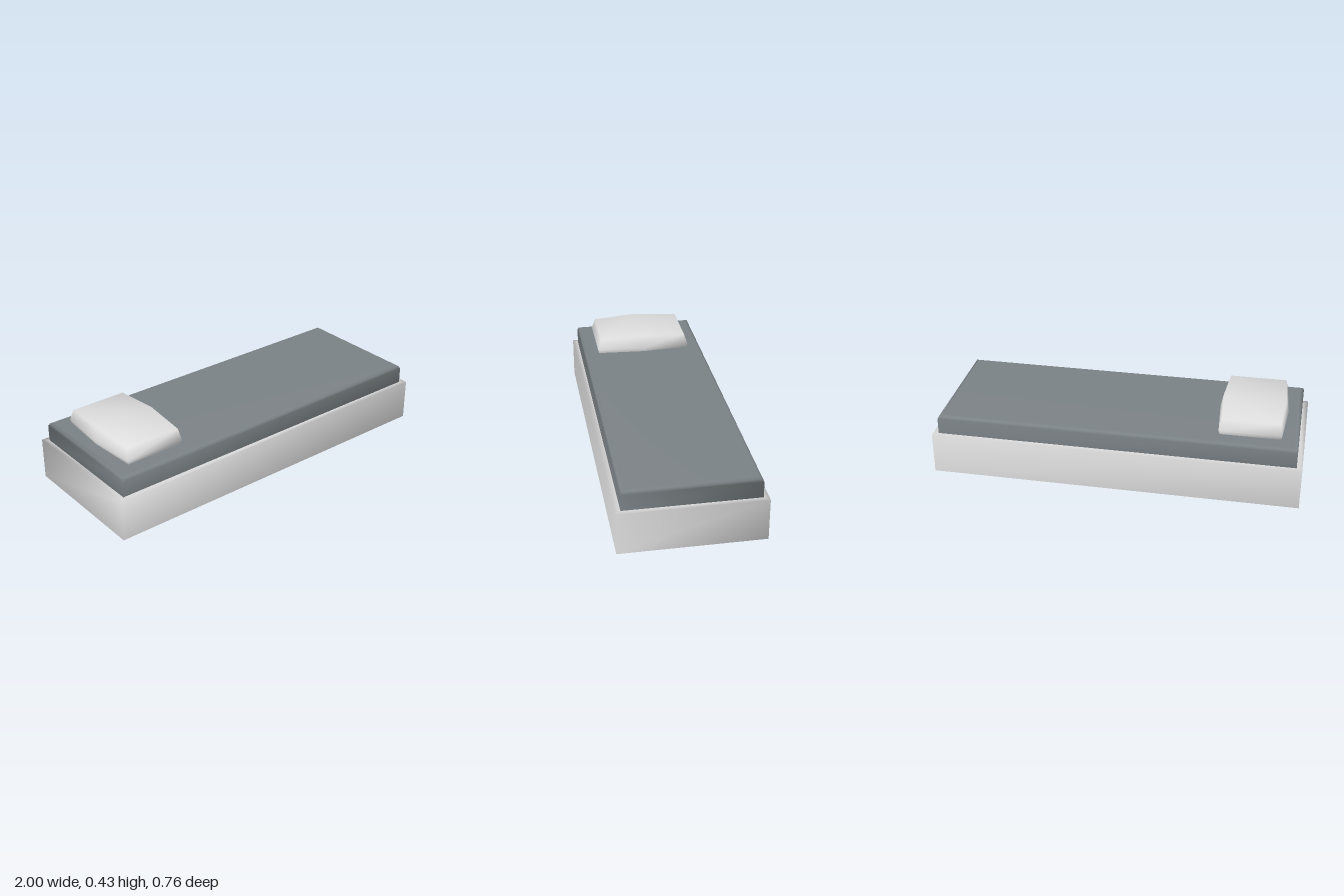
import * as THREE from 'three';

// Smooth loft through rings of points (counter-clockwise from above), with an optional top cap.
function loft(rings, capTop) {
  const n = rings[0].length;
  const index = [];
  for (let r = 0; r < rings.length - 1; r++) {
    for (let i = 0; i < n; i++) {
      const a = r * n + i, b = r * n + (i + 1) % n;
      index.push(a, b, b + n, a, b + n, a + n);
    }
  }
  if (capTop) {
    const o = (rings.length - 1) * n;
    for (let i = 0; i < n / 2 - 1; i++) {
      const a = o + i, b = a + 1, c = o + n - 2 - i, d = c + 1;
      index.push(a, b, c, a, c, d);
    }
  }
  const g = new THREE.BufferGeometry();
  g.setAttribute('position', new THREE.Float32BufferAttribute(rings.flat(2), 3));
  g.setIndex(index);
  g.computeVertexNormals();
  return g;
}

// Rectangular ring
const rect = (x, y, z) => [[x, y, z], [x, y, -z], [-x, y, -z], [-x, y, z]];

// Six-sided ring, wider in the middle than at the ends
const hex = (mid, end, z, yMid, yEnd) => [
  [end, yEnd, z], [mid, yMid, 0], [end, yEnd, -z],
  [-end, yEnd, -z], [-mid, yMid, 0], [-end, yEnd, z],
];

export function createModel() {
  const model = new THREE.Group();
  const white = new THREE.MeshStandardMaterial({ name: 'pale grey', color: 0xdedede });
  const grey = new THREE.MeshStandardMaterial({ name: 'slate grey', color: 0x7b8286 });

  const add = (name, geometry, material) => {
    const mesh = new THREE.Mesh(geometry, material);
    mesh.name = name;
    model.add(mesh);
    return mesh;
  };

  // Bed base: walls with a narrow ledge, and a flat underside
  add('bedBase', loft([rect(1, 0, 0.38), rect(1, 0.228, 0.38), rect(0.96, 0.228, 0.345)], false), white);
  add('baseUnderside', new THREE.PlaneGeometry(2, 0.76).rotateX(Math.PI / 2), white);

  // Mattress with a bevelled upper edge
  add('mattress', loft([
    rect(0.97, 0.225, 0.352),
    rect(0.97, 0.316, 0.352),
    rect(0.963, 0.33, 0.345),
    rect(0.946, 0.338, 0.328),
  ], true), grey);

  // Pillow with a low ridge across its middle
  const pillow = add('pillow', loft([
    hex(0.178, 0.16, 0.264, 0.336, 0.336),
    hex(0.185, 0.166, 0.27, 0.36, 0.36),
    hex(0.17, 0.155, 0.25, 0.432, 0.42),
  ], true), white);
  pillow.position.x = -0.715;

  return model;
}
